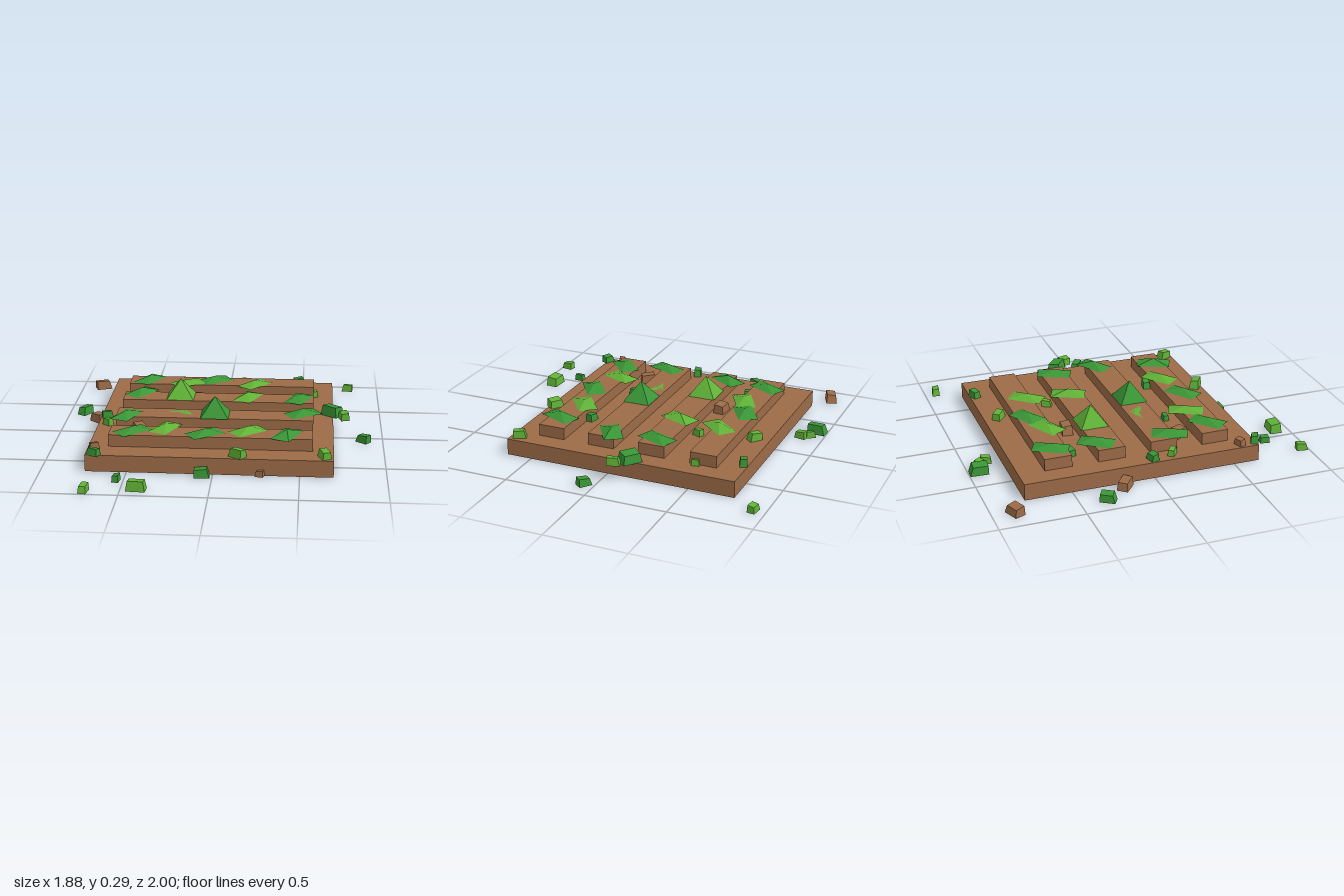
import * as THREE from 'three';

const mat = (name, color) => {
  const m = new THREE.MeshStandardMaterial({ color, flatShading: true, side: THREE.DoubleSide });
  m.name = name;
  return m;
};
const soil = mat('soil brown', 0x9c6b47);
const green = mat('leaf green', 0x3a9636);
const lime = mat('light leaf green', 0x60b237);

// Box without its bottom face
function openBox(w, h, d) {
  const g = new THREE.BoxGeometry(w, h, d);
  const idx = Array.from(g.index.array);
  idx.splice(18, 6);
  g.setIndex(idx);
  g.clearGroups();
  return g.translate(0, h / 2, 0);
}

// Four-sided pyramid, open underneath
function pyramid(w, h, d) {
  const g = new THREE.ConeGeometry(Math.SQRT1_2, 1, 4, 1, true);
  return g.rotateY(Math.PI / 4).translate(0, 0.5, 0).scale(w, h, d);
}

// Irregular clod: a box with a narrowed, slanted top
function clod(length, i) {
  const h = 0.02 + 0.37 * length;
  const g = new THREE.BoxGeometry(length, h, length * 0.66).translate(0, h / 2, 0);
  const p = g.attributes.position;
  for (let k = 0; k < p.count; k++) {
    if (p.getY(k) < h / 2) continue;
    const slant = Math.sign(i % 2 ? p.getX(k) : p.getZ(k));
    p.setXYZ(k, p.getX(k) * 0.82 + length * 0.08 * (i % 3 - 1),
      h * (0.93 + 0.07 * slant), p.getZ(k) * 0.85);
  }
  return g;
}

export function createModel() {
  const group = new THREE.Group();
  const add = (geo, material, name, x, y, z, turn = 0) => {
    const mesh = new THREE.Mesh(geo, material);
    mesh.name = name;
    mesh.position.set(x, y, z);
    mesh.rotation.y = THREE.MathUtils.degToRad(turn);
    group.add(mesh);
  };

  // Soil bed and its four raised rows
  add(openBox(1.436, 0.1, 1.436), soil, 'soilBed', -0.023, 0, -0.062);
  for (let i = 0; i < 4; i++)
    add(openBox(1.197, 0.072, 0.164), soil, 'plantingRow', -0.026, 0.1, -0.543 + i * 0.322);

  // Two tall sprouts
  add(pyramid(0.17, 0.118, 0.17), lime, 'sprout', -0.265, 0.172, -0.228);
  add(pyramid(0.17, 0.118, 0.17), green, 'sprout', -0.025, 0.172, 0.108);

  // Low crops on the rows: x, z, turn
  const plant = (material, spots) => spots.forEach(([x, z, turn], i) =>
    add(pyramid(0.21, 0.028 + (i % 3) * 0.003, 0.117), material, 'crop', x, 0.174, z, turn));
  plant(green, [
    [-0.5, -0.55, 62], [-0.07, -0.56, 31], [-0.52, -0.28, 57], [0.48, -0.22, 68], [-0.56, 0.16, 68],
    [0.51, 0.06, 32], [-0.49, 0.43, 42], [-0.06, 0.45, 35], [0.42, 0.44, 67],
  ]);
  plant(lime, [
    [-0.24, -0.49, 28], [0.19, -0.49, 50], [0.16, -0.23, 67], [-0.3, 0.37, 65], [0.19, 0.39, 38],
  ]);

  // Leaf mostly sunk into a row, showing as three slivers
  for (let i = 0; i < 3; i++) {
    const sliver = new THREE.Shape();
    sliver.moveTo(-0.06, 0).lineTo(0.05, 0.015).lineTo(0.02, -0.025);
    add(new THREE.ShapeGeometry(sliver).rotateX(-Math.PI / 2), lime, 'sunkenLeaf',
      -0.26 + i * 0.035, 0.175, 0.07 + i * 0.01, 15 - i * 40);
  }

  // Scattered clods, resting on the bed or on the ground: x, z, length, turn
  const scatter = (material, name, spots) => spots.forEach(([x, z, length, turn], i) => {
    const onBed = x > -0.75 && x < 0.77 && z > -0.77 && z < 0.66;
    add(clod(length, i), material, name, x, onBed ? 0.1 : 0, z, turn);
  });
  scatter(soil, 'soilClod', [
    [-0.86, -0.87, 0.1, 22], [-0.79, -0.2, 0.1, -40], [-0.2, -0.36, 0.1, -5],
    [-0.47, 0.25, 0.1, 120], [-0.7, 0.55, 0.06, 20], [0.27, 0.665, 0.05, -15],
  ]);
  scatter(green, 'darkLeafScrap', [
    [-0.34, -0.94, 0.11, 87], [0.47, -0.75, 0.07, 20], [-0.9, -0.34, 0.09, 58], [-0.48, -0.43, 0.07, 15],
    [0.69, -0.14, 0.12, -38], [0.88, 0.06, 0.08, -38], [-0.7, 0, 0.07, 15], [-0.24, 0.26, 0.05, 0],
    [-0.69, 0.65, 0.07, -25], [-0.06, 0.69, 0.09, 3], [-0.54, 0.79, 0.06, 82], [0.24, 0.32, 0.07, -10],
  ]);
  scatter(lime, 'lightLeafScrap', [
    [-0.26, -0.92, 0.06, 125], [-0.23, -0.87, 0.07, 78], [0.8, -0.93, 0.07, -8], [0.12, -0.69, 0.08, -40],
    [0.58, -0.5, 0.05, 100], [0.19, -0.36, 0.06, 65], [0.76, -0.07, 0.08, 105], [-0.68, 0.13, 0.06, -40],
    [0.14, 0.62, 0.09, -35], [0.64, 0.6, 0.08, 114], [-0.41, 0.91, 0.11, -4], [-0.7, 0.96, 0.07, 80],
  ]);

  return group;
}
